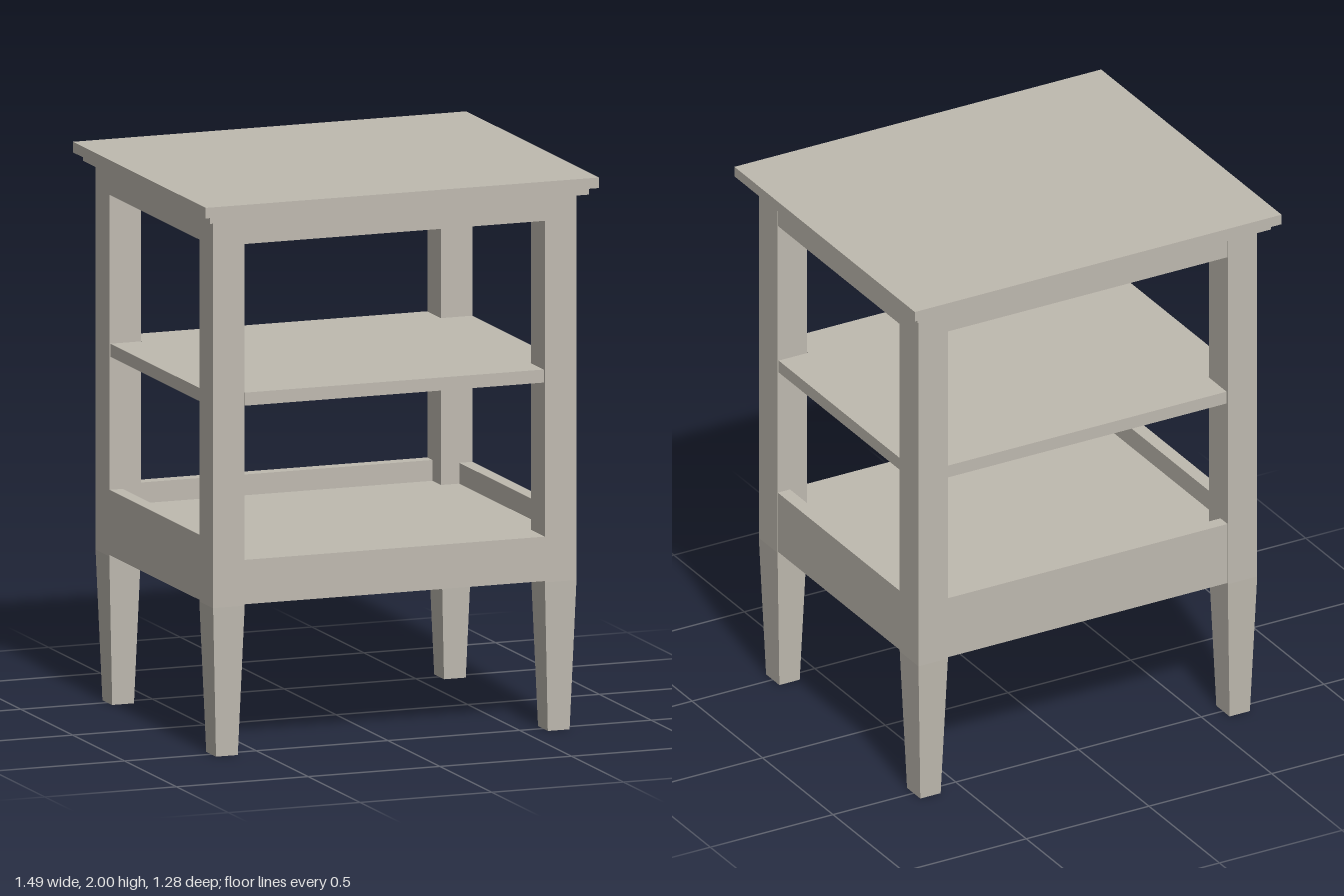
import * as THREE from 'three';

const LEG_X = 0.63, LEG_Z = 0.5;        // leg centres
const LEG_W = 0.12, LEG_D = 0.133;      // leg section
const OUT_X = LEG_X + LEG_W / 2, OUT_Z = LEG_Z + LEG_D / 2;
const IN_X = LEG_X - LEG_W / 2, IN_Z = LEG_Z - LEG_D / 2;
const LEG_TOP = 1.935, TAPER_Y = 0.54, RAIL_T = 0.05;

// Square leg whose lower part tapers towards the foot
function legGeometry() {
  const geo = new THREE.BoxGeometry(LEG_W, LEG_TOP, LEG_D, 1, 2, 1);
  const p = geo.attributes.position;
  for (let i = 0; i < p.count; i++) {
    const y = p.getY(i) + LEG_TOP / 2;
    if (y < 0.01) p.setXYZ(i, p.getX(i) * 0.69, 0, p.getZ(i) * 0.71);
    else p.setY(i, y > LEG_TOP - 0.01 ? LEG_TOP : TAPER_Y);
  }
  const flat = geo.toNonIndexed();
  flat.computeVertexNormals();
  return flat;
}

// Shelf with its corners notched around the legs
function shelfGeometry(thickness) {
  const x = OUT_X - 0.003, z = OUT_Z - 0.003, nx = IN_X - 0.003, nz = IN_Z - 0.003;
  const corners = [
    [nx, -z], [nx, -nz], [x, -nz], [x, nz], [nx, nz], [nx, z],
    [-nx, z], [-nx, nz], [-x, nz], [-x, -nz], [-nx, -nz], [-nx, -z],
  ];
  const shape = new THREE.Shape(corners.map(([a, b]) => new THREE.Vector2(a, b)));
  const geo = new THREE.ExtrudeGeometry(shape, { depth: thickness, bevelEnabled: false });
  return geo.rotateX(-Math.PI / 2);
}

export function createModel() {
  const table = new THREE.Group();
  table.name = 'sideTable';
  const paint = new THREE.MeshStandardMaterial({ color: 0xbfbab0 });
  paint.name = 'warmGreyPaint';

  const add = (name, geo, x = 0, y = 0, z = 0) => {
    const mesh = new THREE.Mesh(geo, paint);
    mesh.name = name;
    mesh.position.set(x, y, z);
    table.add(mesh);
  };
  // Box given by its width, depth and lower and upper heights
  const slab = (name, w, d, y0, y1, x = 0, z = 0) =>
    add(name, new THREE.BoxGeometry(w, y1 - y0, d), x, (y0 + y1) / 2, z);

  // Top and the narrower moulding under it
  slab('tableTop', 1.494, 1.28, 1.962, 2);
  slab('topMoulding', 1.44, 1.222, 1.935, 1.962);

  // Legs
  const leg = legGeometry();
  for (const sx of [-1, 1])
    for (const sz of [-1, 1])
      add(`${sz > 0 ? 'front' : 'back'}${sx > 0 ? 'Left' : 'Right'}Leg`, leg, sx * LEG_X, 0, sz * LEG_Z);

  // Rails flush with the outer leg faces; the lower front rail is level with its shelf
  for (const s of [-1, 1]) {
    const end = s > 0 ? 'front' : 'back', side = s > 0 ? 'left' : 'right';
    const railZ = s * (OUT_Z - RAIL_T / 2 - 0.001), railX = s * (OUT_X - RAIL_T / 2 - 0.001);
    slab(`${end}TopRail`, IN_X * 2, RAIL_T, 1.843, LEG_TOP, 0, railZ);
    slab(`${side}TopRail`, RAIL_T, IN_Z * 2, 1.843, LEG_TOP, railX, 0);
    slab(`${end}LowerRail`, IN_X * 2, RAIL_T, 0.545, s > 0 ? 0.705 : 0.78, 0, railZ);
    slab(`${side}LowerRail`, RAIL_T, IN_Z * 2, 0.545, 0.78, railX, 0);
  }

  // Notched middle shelf, and lower shelf held between the rails
  add('middleShelf', shelfGeometry(0.047), 0, 1.26, 0);
  slab('lowerShelf', (OUT_X - RAIL_T) * 2, (OUT_Z - RAIL_T) * 2, 0.66, 0.705);

  return table;
}
